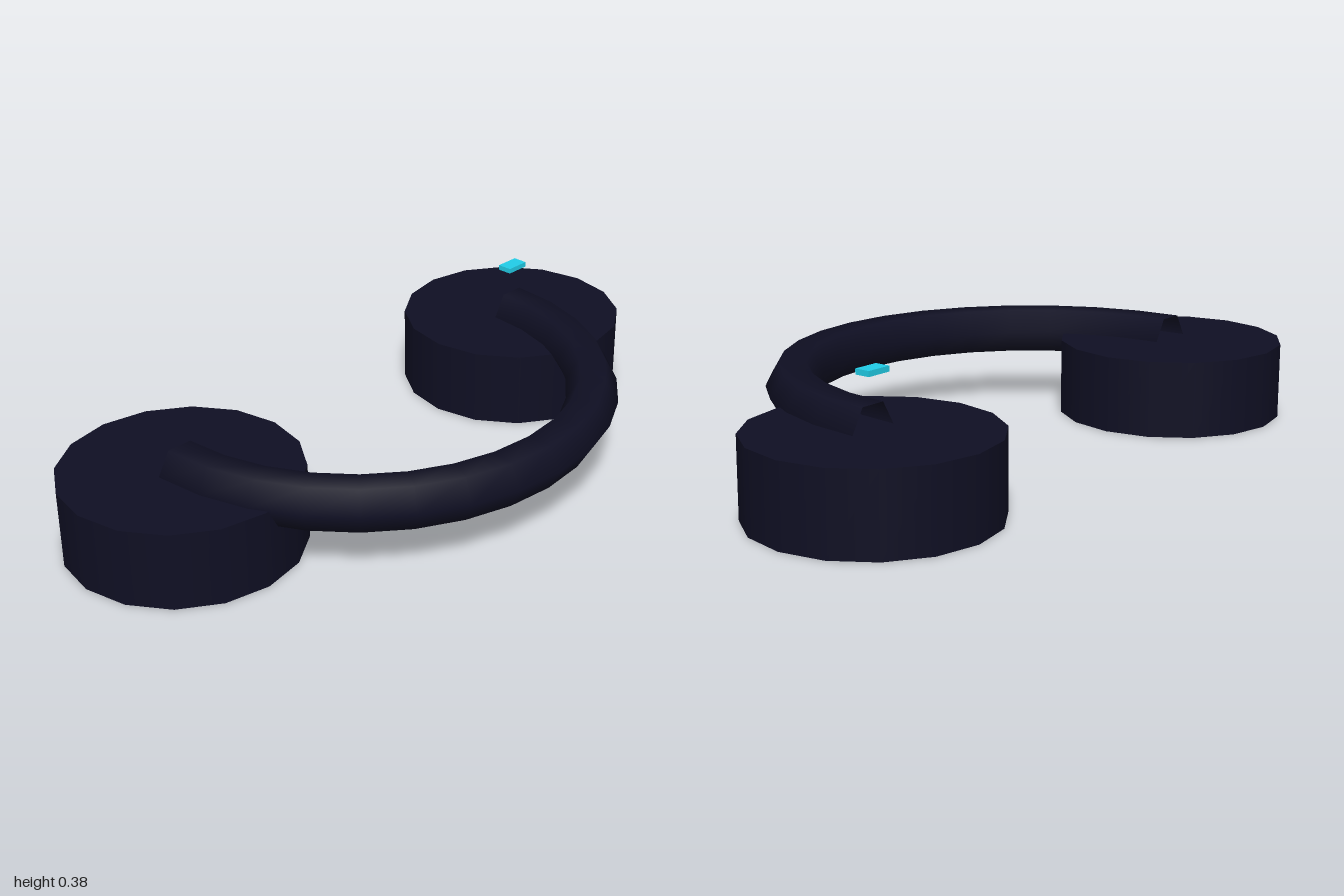
import * as THREE from 'three';

export function createModel() {
  const model = new THREE.Group();
  model.name = 'headphones';

  const navy = new THREE.MeshStandardMaterial({ color: 0x0f0f23 });
  navy.name = 'dark navy';
  // the band is an open half ring
  navy.side = THREE.DoubleSide;
  const cyan = new THREE.MeshStandardMaterial({ color: 0x22d3ee });
  cyan.name = 'cyan';

  const R = 0.667; // band radius, also the cup offset
  const cz = -0.204; // depth of the cup centres
  const cupHeight = 0.222;

  function add(name, geometry, material, x, y, z) {
    const mesh = new THREE.Mesh(geometry, material);
    mesh.name = name;
    mesh.position.set(x, y, z);
    model.add(mesh);
    return mesh;
  }

  // Ear cups: sixteen-sided drums standing on the ground
  const cup = new THREE.CylinderGeometry(0.333, 0.333, cupHeight, 16);
  for (const [name, side] of [['leftEarCup', 1], ['rightEarCup', -1]]) {
    add(name, cup, navy, side * R, cupHeight / 2, cz);
  }

  // Headband: half ring lying flat, curving towards the front
  const band = new THREE.TorusGeometry(R, 0.074, 6, 16, Math.PI);
  band.rotateX(Math.PI / 2);
  add('headband', band, navy, 0, cupHeight, cz);

  // Indicator light floating above the left cup
  add('indicatorLight', new THREE.BoxGeometry(0.074, 0.015, 0.044), cyan, R, 0.372, cz);

  return model;
}
